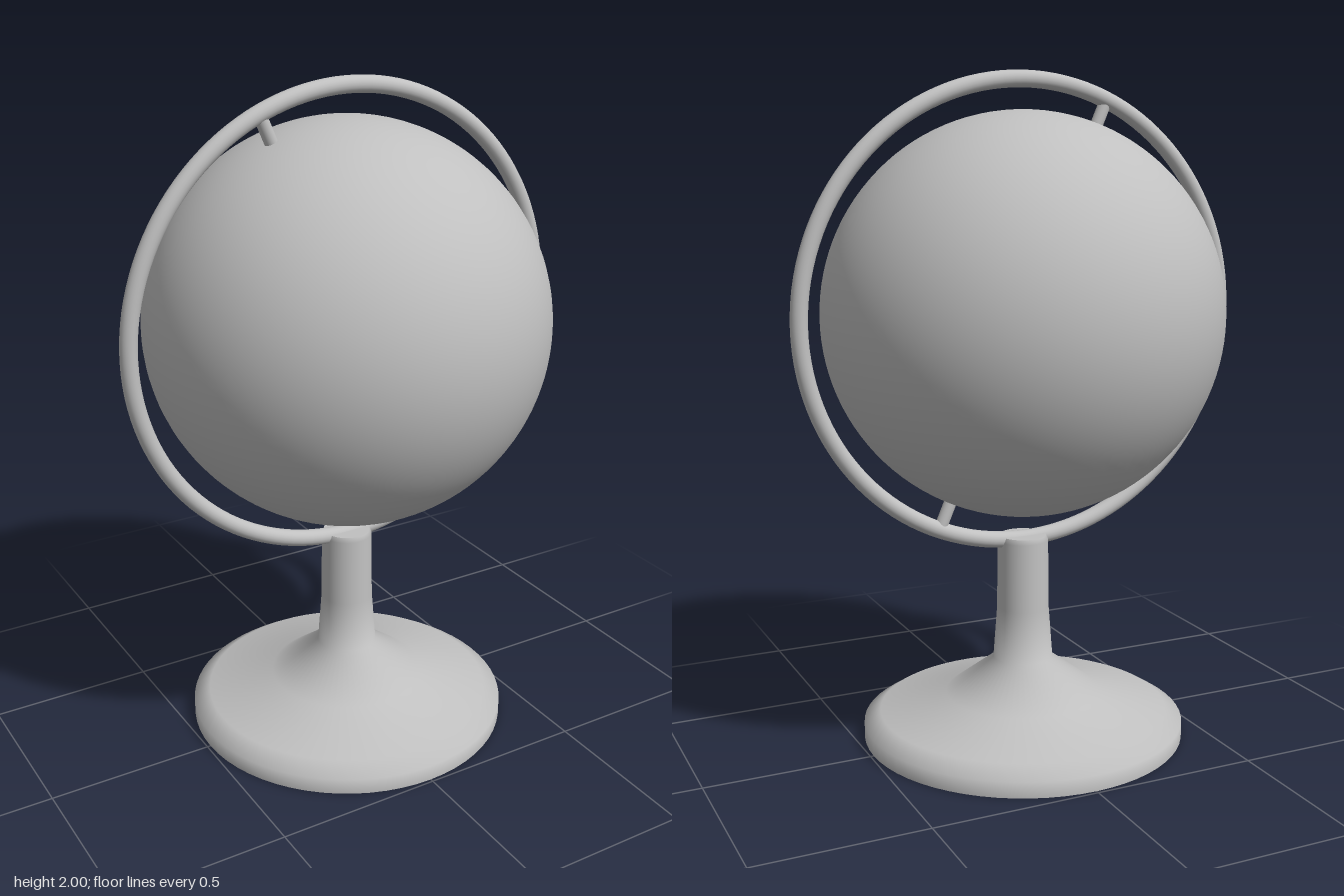
import * as THREE from 'three';

const CENTER_Y = 1.294;
const TILT = THREE.MathUtils.degToRad(23.5);

export function createModel() {
  const grey = new THREE.MeshStandardMaterial({ color: 0xc0c0c0 });
  grey.name = 'plain grey';

  const model = new THREE.Group();
  model.name = 'deskGlobe';
  const add = (parent, name, geometry, x = 0, y = 0) => {
    const mesh = new THREE.Mesh(geometry, grey);
    mesh.name = name;
    mesh.position.set(x, y, 0);
    parent.add(mesh);
    return mesh;
  };

  // Turned foot and column; repeated points keep that edge sharp
  const profile = [
    [0, 0], [0.49, 0], [0.49, 0], [0.49, 0.048], [0.44, 0.08],
    [0.238, 0.13], [0.091, 0.24], [0.079, 0.4], [0.077, 0.61],
    [0.071, 0.625], [0.071, 0.625], [0, 0.625],
  ].map(([r, y]) => new THREE.Vector2(r, y));
  add(model, 'stand', new THREE.LatheGeometry(profile, 64));

  // Upright ring around the ball
  add(model, 'ring', new THREE.TorusGeometry(0.681, 0.025, 20, 128), 0, CENTER_Y);

  // Ball and its two pivot pins share one leaning axis
  const axis = new THREE.Group();
  axis.name = 'tiltedAxis';
  axis.position.y = CENTER_Y;
  axis.rotation.z = TILT;
  model.add(axis);
  add(axis, 'ball', new THREE.SphereGeometry(0.595, 80, 56));
  for (const [name, side] of [['topPin', 1], ['bottomPin', -1]]) {
    add(axis, name, new THREE.CylinderGeometry(0.019, 0.019, 0.1, 20), 0, side * 0.625);
  }

  return model;
}
